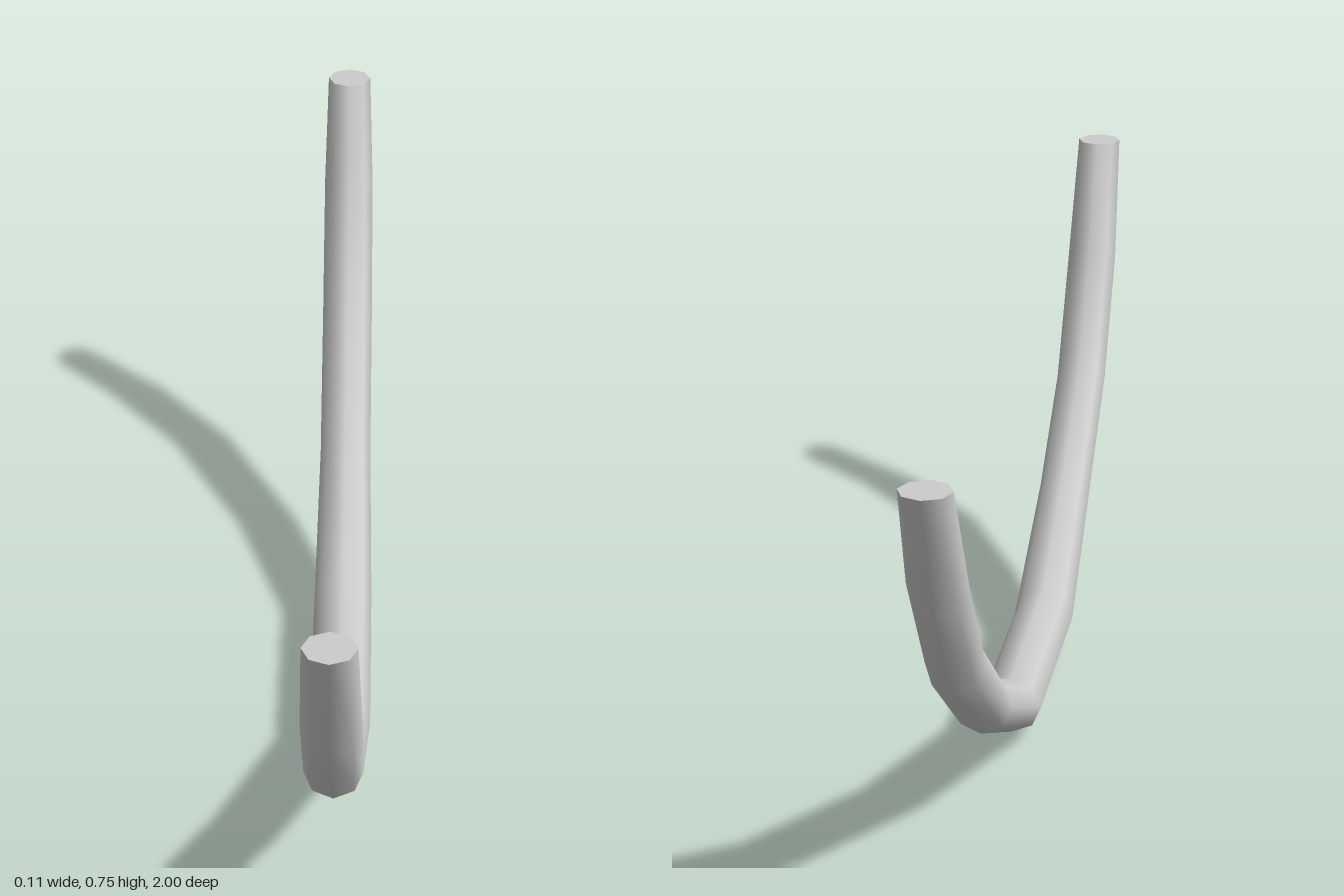
import * as THREE from 'three';

const SIDES = 8;

// Stations from front tip to back tip: outer z, outer y, inner z, inner y, half width in x
const STATIONS = [
  [1.0, 0.75, 0.92, 0.75, 0.04],
  [0.89, 0.51, 0.825, 0.57, 0.046],
  [0.73, 0.31, 0.68, 0.375, 0.046],
  [0.5, 0.16, 0.46, 0.24, 0.047],
  [0.19, 0.0, 0.195, 0.112, 0.053],
  [-0.2, 0.013, -0.2, 0.112, 0.052],
  [-0.51, 0.16, -0.46, 0.235, 0.047],
  [-0.76, 0.345, -0.705, 0.42, 0.047],
  [-0.9, 0.53, -0.85, 0.615, 0.046],
  [-1.0, 0.75, -0.92, 0.75, 0.04],
];

// Elliptical cross-section spanning the outer and inner edge of the bar
function ring([oz, oy, iz, iy, w]) {
  return Array.from({ length: SIDES }, (_, j) => {
    const a = (j / SIDES) * Math.PI * 2, s = Math.sin(a) / 2;
    return [Math.cos(a) * w, (oy + iy) / 2 + s * (oy - iy), (oz + iz) / 2 + s * (oz - iz)];
  });
}

function makeMesh(name, points, index, material) {
  const geometry = new THREE.BufferGeometry();
  geometry.setAttribute('position', new THREE.Float32BufferAttribute(points.flat(), 3));
  geometry.setIndex(index);
  geometry.computeVertexNormals();
  const mesh = new THREE.Mesh(geometry, material);
  mesh.name = name;
  return mesh;
}

export function createModel() {
  const group = new THREE.Group();
  group.name = 'curvedHandle';
  const material = new THREE.MeshStandardMaterial({ color: 0xcccccc });
  const rings = STATIONS.map(ring);

  // Bent bar, smooth around and along its length
  const index = [];
  for (let i = 0; i < rings.length - 1; i++) {
    for (let j = 0; j < SIDES; j++) {
      const k = (j + 1) % SIDES;
      const a = i * SIDES + j, b = i * SIDES + k;
      index.push(a, b, a + SIDES, b, b + SIDES, a + SIDES);
    }
  }
  group.add(makeMesh('bar', rings.flat(), index, material));

  // Flat ends, with their own vertices for a sharp rim
  const fan = [];
  for (let j = 1; j < SIDES - 1; j++) fan.push(0, j, j + 1);
  group.add(makeMesh('frontEnd', rings[0], [...fan].reverse(), material));
  group.add(makeMesh('backEnd', rings[rings.length - 1], fan, material));

  return group;
}
